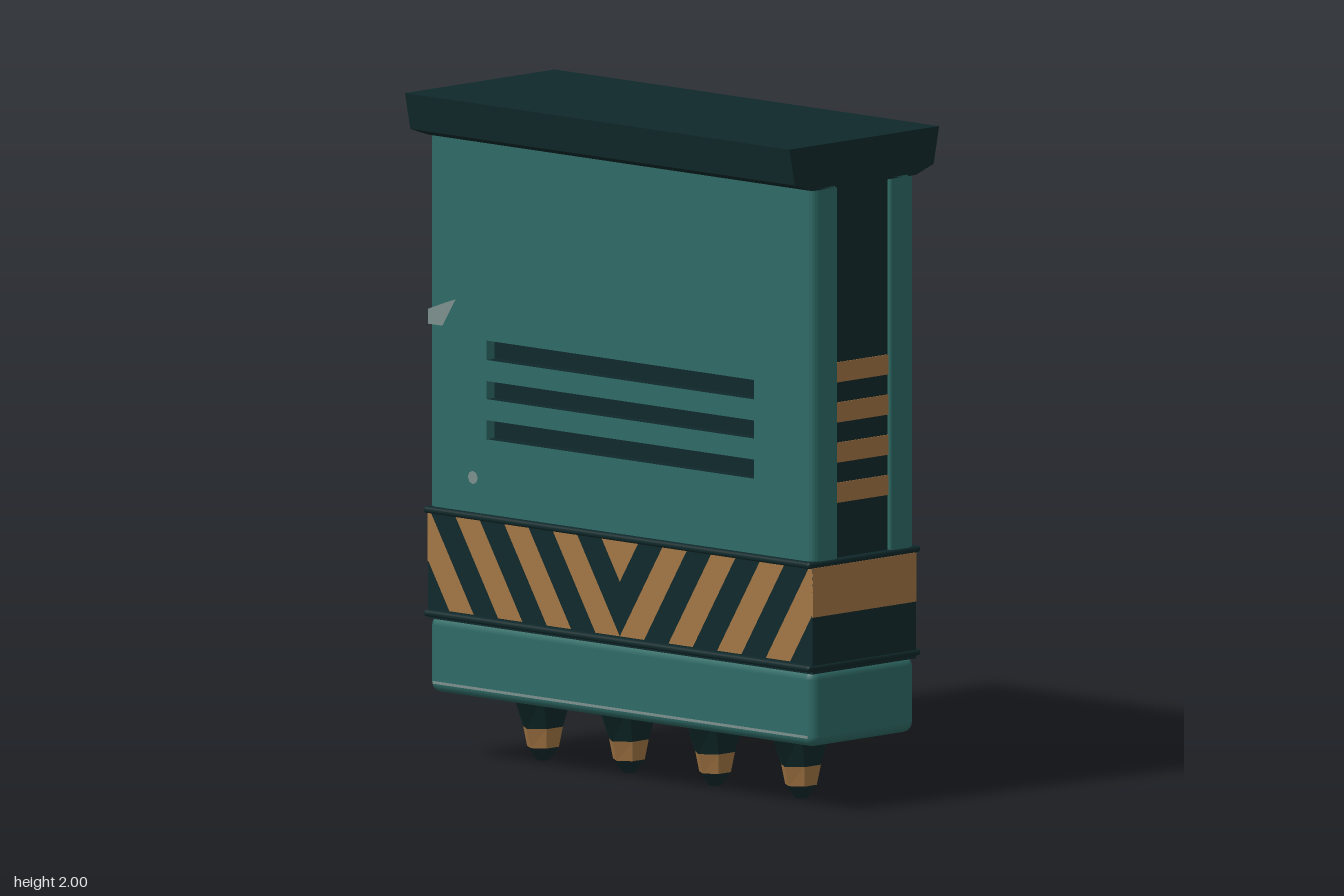
import * as THREE from 'three';
import { mergeGeometries } from 'three/addons/utils/BufferGeometryUtils.js';
import { RoundedBoxGeometry } from 'three/addons/geometries/RoundedBoxGeometry.js';

const W = 0.79, D = 0.22; // half width and half depth of the body

function material(name, color) {
  const m = new THREE.MeshStandardMaterial({ color });
  m.name = name;
  return m;
}

// Keeps the part of a polygon where sign * (x - limit) >= 0
function clipX(points, limit, sign) {
  const out = [];
  points.forEach((a, i) => {
    const b = points[(i + 1) % points.length];
    const da = sign * (a.x - limit), db = sign * (b.x - limit);
    if (da >= 0) out.push(a);
    if (da * db < 0) out.push(a.clone().lerp(b, da / (da - db)));
  });
  return out;
}

// Plan outline of a side panel, with an optional notch for a vent slot
function panelPlan(notched) {
  const r = 0.035, q = 0.012, inner = 0.11;
  const s = new THREE.Shape();
  s.moveTo(-W + q, inner);
  s.lineTo(W - q, inner);
  s.quadraticCurveTo(W, inner, W, inner + q);
  s.lineTo(W, D - r);
  s.quadraticCurveTo(W, D, W - r, D);
  if (notched) {
    s.lineTo(0.55, D);
    s.lineTo(0.55, 0.18);
    s.lineTo(-0.55, 0.18);
    s.lineTo(-0.55, D);
  }
  s.lineTo(-W + r, D);
  s.quadraticCurveTo(-W, D, -W, D - r);
  s.lineTo(-W, inner + q);
  s.quadraticCurveTo(-W, inner, -W + q, inner);
  return s;
}

// Tapered six-sided section between two heights
function toothSection(top, bottom) {
  const g = new THREE.CylinderGeometry(1, 1, 1, 6).toNonIndexed();
  const p = g.attributes.position;
  for (let i = 0; i < p.count; i++) {
    const [y, hx, hz] = p.getY(i) > 0 ? top : bottom;
    p.setXYZ(i, p.getX(i) * hx / 0.866, y, p.getZ(i) * hz);
  }
  g.computeVertexNormals();
  return g;
}

export function createModel() {
  const model = new THREE.Group();
  model.name = 'barrierBlock';
  const teal = material('teal paint', 0x2f6b66);
  const dark = material('dark metal', 0x10292b);
  const orange = material('orange paint', 0xa37644);
  const grey = material('bare metal', 0x7c908d);

  function add(parent, name, geometry, mat, x = 0, y = 0, z = 0) {
    const m = new THREE.Mesh(geometry, mat);
    m.name = name;
    m.position.set(x, y, z);
    parent.add(m);
    return m;
  }
  const box = (parent, name, mat, w, y0, y1, d, x = 0, z = 0) =>
    add(parent, name, new THREE.BoxGeometry(w, y1 - y0, d), mat, x, (y0 + y1) / 2, z);

  // Cap with flared sides
  const half = [[0.22, 1.865], [0.295, 1.89], [0.318, 2]];
  const outline = [...half, ...half.map(([z, y]) => [-z, y]).reverse()];
  const capShape = new THREE.Shape(outline.map(([z, y]) => new THREE.Vector2(z, y)));
  const cap = new THREE.ExtrudeGeometry(capShape, { depth: 2 * W, bevelEnabled: false });
  cap.translate(0, 0, -W).rotateY(Math.PI / 2);
  add(model, 'cap', cap, dark);

  // Core, hazard band, ridges and base
  box(model, 'core', dark, 2 * W - 0.02, 0.7, 1.87, 0.25);
  box(model, 'hazardBand', dark, 2 * W, 0.42, 0.75, 2 * D);
  for (const y of [0.437, 0.746]) {
    add(model, 'ridge', new RoundedBoxGeometry(2 * W + 0.008, 0.02, 0.478, 2, 0.009), dark, 0, y, 0);
  }
  add(model, 'base', new RoundedBoxGeometry(2 * W, 0.23, 2 * D, 3, 0.03), teal, 0, 0.315, 0);

  // Chevron stripes, slanted towards the middle
  const stripeParts = [];
  for (let i = 0; i < 5; i++) {
    const x = -0.075 - i * 0.2, w = 0.1, lean = 0.175, y1 = 0.735, y0 = 0.45;
    let pts = [[x, y1], [x + w, y1], [x + w + lean, y0], [x + lean, y0]].map(a => new THREE.Vector2(...a));
    pts = clipX(clipX(pts, 0, -1), -W, 1);
    for (const side of [1, -1]) {
      const shape = new THREE.Shape(pts.map(p => new THREE.Vector2(p.x * side, p.y)));
      stripeParts.push(new THREE.ShapeGeometry(shape));
    }
  }
  const chevrons = mergeGeometries(stripeParts);

  // Front and back faces
  const slots = [[0.98, 1.037], [1.1, 1.154], [1.217, 1.275]];
  const levels = [0.75, ...slots.flat(), 1.87];
  for (const [name, turn] of [['frontFace', 0], ['backFace', Math.PI]]) {
    const face = new THREE.Group();
    face.name = name;
    face.rotation.y = turn;
    model.add(face);
    // Panel in layers; every second layer holds a vent slot
    for (let i = 0; i < levels.length - 1; i++) {
      const g = new THREE.ExtrudeGeometry(panelPlan(i % 2 === 1), {
        depth: levels[i + 1] - levels[i], bevelEnabled: false, curveSegments: 6,
      });
      g.rotateX(Math.PI / 2);
      add(face, 'panelLayer', g, [dark, teal], 0, levels[i + 1], 0);
    }
    for (const [y0, y1] of slots) box(face, 'ventSlotFloor', dark, 1.1, y0, y1, 0.008, 0, 0.181);
    add(face, 'chevronStripes', chevrons, orange, 0, 0, D + 0.002);
  }

  // Worn paint on the front
  const chip = new THREE.Shape([[-0.788, 1.3], [-0.73, 1.3], [-0.675, 1.385], [-0.72, 1.37], [-0.788, 1.345]]
    .map(a => new THREE.Vector2(...a)));
  add(model, 'paintChip', new THREE.ShapeGeometry(chip), grey, 0, 0, D + 0.001);
  add(model, 'paintChip', new THREE.CircleGeometry(0.02, 8), grey, -0.605, 0.86, D + 0.001);
  box(model, 'wornEdge', grey, 1.54, 0.226, 0.234, 0.004, 0, D - 0.001);

  // Painted bars on both ends
  for (const side of [1, -1]) {
    for (let i = 0; i < 4; i++) {
      const y = 0.92 + i * 0.12;
      box(model, 'endStripe', orange, 0.006, y, y + 0.06, 0.22, side * (W - 0.01), 0);
    }
    box(model, 'endBand', orange, 0.004, 0.59, 0.737, 2 * D, side * W, 0);
  }

  // Teeth under the base: dark root, orange ring, dark tip
  const rings = [[0.21, 0.062, 0.128], [0.1, 0.048, 0.07], [0.04, 0.04, 0.052], [0, 0.016, 0.018]];
  for (const x of [-0.53, -0.177, 0.177, 0.53]) {
    const tooth = new THREE.Group();
    tooth.name = 'tooth';
    tooth.position.x = x;
    model.add(tooth);
    ['toothRoot', 'toothRing', 'toothTip'].forEach((name, i) =>
      add(tooth, name, toothSection(rings[i], rings[i + 1]), i === 1 ? orange : dark));
  }
  return model;
}
